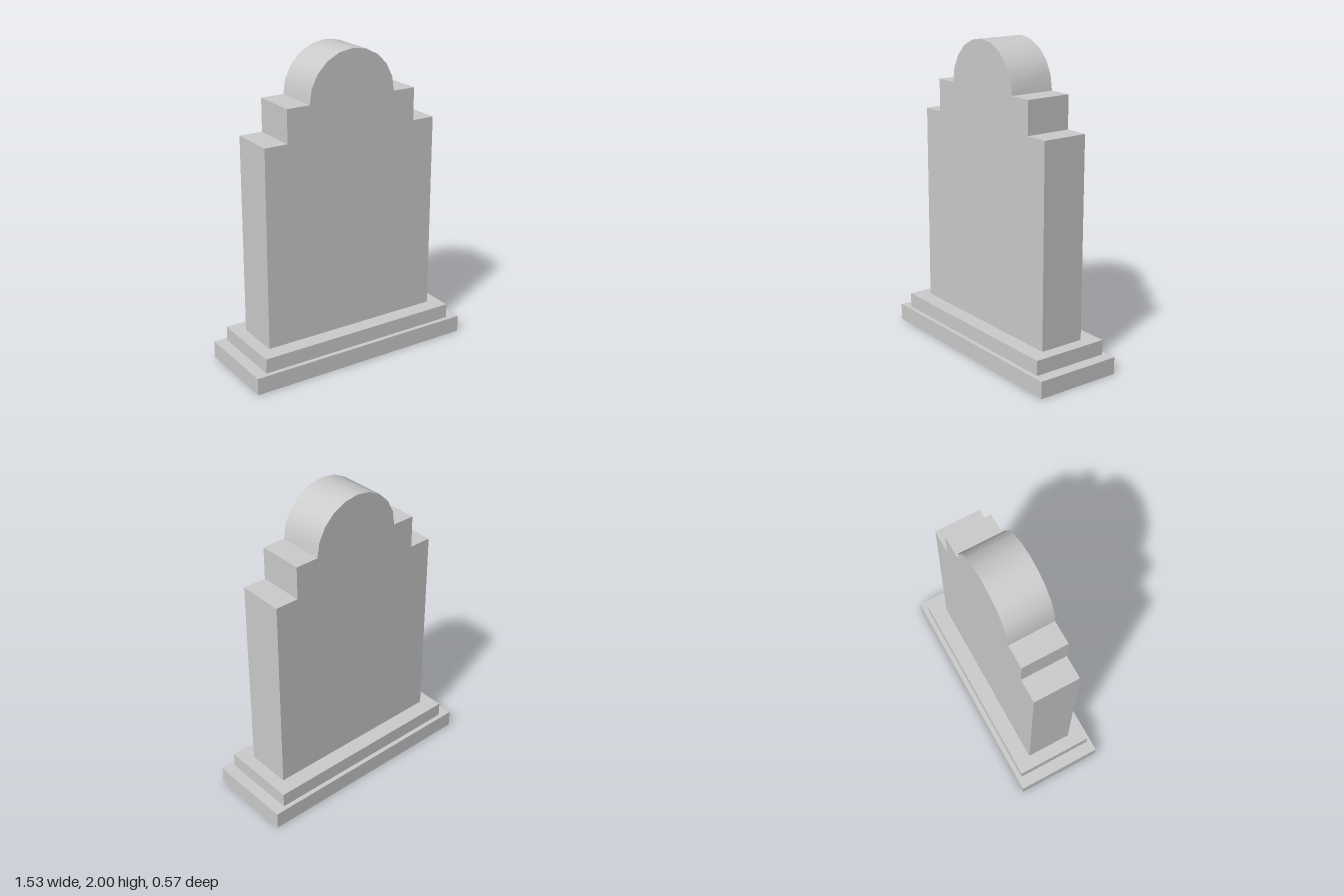
import * as THREE from 'three';
import { toCreasedNormals } from 'three/addons/utils/BufferGeometryUtils.js';

const material = new THREE.MeshStandardMaterial({ color: 0xcccccc, side: THREE.DoubleSide });

// Drops every downward-facing triangle, leaving a shell that is open below
function openBelow(geometry) {
  const flat = geometry.index ? geometry.toNonIndexed() : geometry;
  const p = flat.attributes.position;
  const tri = new THREE.Triangle();
  const normal = new THREE.Vector3();
  const kept = [];
  for (let i = 0; i < p.count; i += 3) {
    tri.setFromAttributeAndIndices(p, i, i + 1, i + 2);
    tri.getNormal(normal);
    if (normal.y > -0.9) kept.push(...tri.a, ...tri.b, ...tri.c);
  }
  const shell = new THREE.BufferGeometry();
  shell.setAttribute('position', new THREE.Float32BufferAttribute(kept, 3));
  return toCreasedNormals(shell, 0.5);
}

function addPart(group, name, geometry) {
  const mesh = new THREE.Mesh(openBelow(geometry), material);
  mesh.name = name;
  group.add(mesh);
}

function slab(width, depth, bottom, top) {
  return new THREE.BoxGeometry(width, top - bottom, depth).translate(0, (top + bottom) / 2, 0);
}

export function createModel() {
  const group = new THREE.Group();
  group.name = 'gravestone';

  // Two-step plinth
  addPart(group, 'lowerPlinth', slab(1.53, 0.57, 0, 0.11));
  addPart(group, 'upperPlinth', slab(1.375, 0.51, 0.11, 0.205));

  // Upright stone with stepped shoulders and a round head, running down to the ground
  const outline = new THREE.Shape();
  outline.moveTo(-0.605, 0);
  outline.lineTo(0.605, 0);
  outline.lineTo(0.605, 1.49);
  outline.lineTo(0.4525, 1.49);
  outline.lineTo(0.4525, 1.7);
  outline.lineTo(0.3, 1.7);
  outline.absarc(0, 1.7, 0.3, 0, Math.PI, false);
  outline.lineTo(-0.4525, 1.7);
  outline.lineTo(-0.4525, 1.49);
  outline.lineTo(-0.605, 1.49);
  outline.closePath();
  const stone = new THREE.ExtrudeGeometry(outline, { depth: 0.3, bevelEnabled: false, curveSegments: 5 });
  addPart(group, 'headstone', stone.translate(0, 0, -0.15));

  return group;
}
